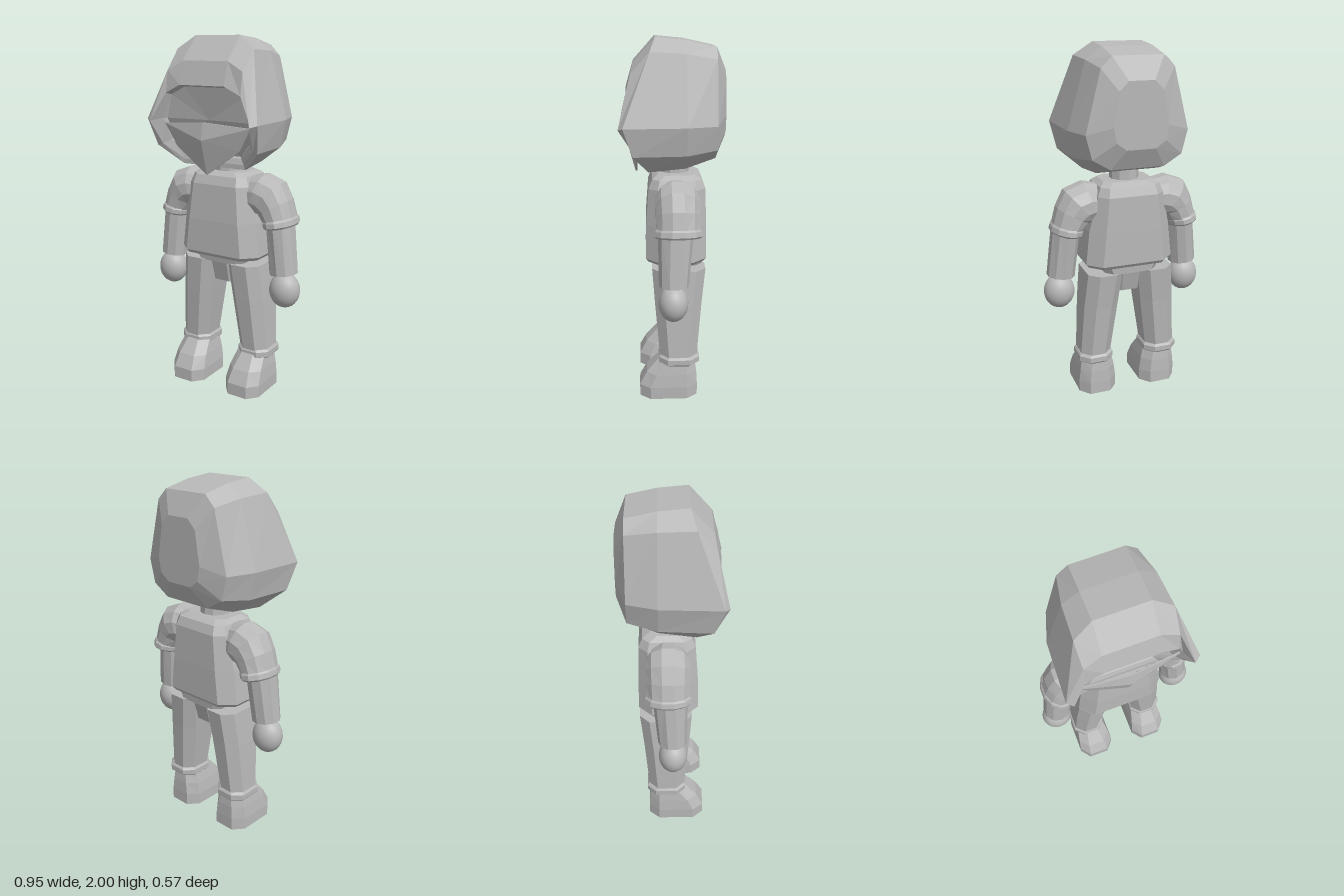
import * as THREE from 'three';

// Skin a list of equal-length rings and cap both ends; always wound outward, flat shaded.
function loft(rings, endCentre) {
  const tris = [];
  const n = rings[0].length;
  for (let i = 0; i < rings.length - 1; i++) {
    for (let j = 0; j < n; j++) {
      const k = (j + 1) % n, a = rings[i], b = rings[i + 1];
      tris.push([a[j], a[k], b[k]], [a[j], b[k], b[j]]);
    }
  }
  const mean = r => [0, 1, 2].map(c => r.reduce((s, p) => s + p[c], 0) / n);
  const first = rings[0], last = rings[rings.length - 1];
  const c0 = mean(first), c1 = endCentre || mean(last);
  for (let j = 0; j < n; j++) {
    const k = (j + 1) % n;
    tris.push([c0, first[k], first[j]], [c1, last[j], last[k]]);
  }
  let volume = 0;
  for (const [a, b, c] of tris) {
    const d = [a, b, c].map(p => new THREE.Vector3(p[0] - c0[0], p[1] - c0[1], p[2] - c0[2]));
    volume += d[0].dot(d[1].cross(d[2]));
  }
  if (volume < 0) tris.forEach(t => t.reverse());
  const geo = new THREE.BufferGeometry();
  geo.setAttribute('position', new THREE.Float32BufferAttribute(tris.flat(2), 3));
  geo.computeVertexNormals();
  return geo;
}

// Horizontal rectangle with cut corners.
function oct(y, x0, x1, zf, zb, cx, cz = cx) {
  return [
    [x1, y, zf - cz], [x1 - cx, y, zf], [x0 + cx, y, zf], [x0, y, zf - cz],
    [x0, y, zb + cz], [x0 + cx, y, zb], [x1 - cx, y, zb], [x1, y, zb + cz],
  ];
}

// Ellipse across a limb: centre (x, y, z), tilt below horizontal, in-plane and depth radii.
function limbRing(x, y, z, tilt, r, rz, sides = 12) {
  const t = THREE.MathUtils.degToRad(tilt);
  return Array.from({ length: sides }, (_, i) => {
    const a = ((i + 0.5) / sides) * Math.PI * 2, u = Math.cos(a) * r;
    return [x + Math.sin(t) * u, y + Math.cos(t) * u, z + Math.sin(a) * rz];
  });
}

const mirrorX = (rings, s) => rings.map(r => r.map(([x, y, z]) => [x * s, y, z]));
const symmetric = half => [...half, ...half.map(([x, y, z]) => [-x, y, z]).reverse()];

export function createModel() {
  const model = new THREE.Group();
  const clay = new THREE.MeshStandardMaterial({ color: 0xb8b8b8 });
  clay.name = 'light grey';
  const add = (name, geo) => {
    const mesh = new THREE.Mesh(geo, clay);
    mesh.name = name;
    model.add(mesh);
    return mesh;
  };

  // Hood: back cap, widening shell, side points, then the brim folding in to the face
  const hood = [
    [[0.07, 1.83, -0.285], [0.12, 1.78, -0.285], [0.15, 1.6, -0.285], [0.135, 1.52, -0.285], [0.08, 1.48, -0.285]],
    [[0.14, 1.95, -0.23], [0.2, 1.89, -0.23], [0.283, 1.56, -0.23], [0.25, 1.43, -0.23], [0.15, 1.37, -0.23]],
    [[0.14, 1.985, -0.07], [0.23, 1.92, -0.07], [0.333, 1.56, -0.07], [0.3, 1.41, -0.07], [0.18, 1.32, -0.07]],
    [[0.14, 2.0, 0.09], [0.24, 1.93, 0.12], [0.348, 1.56, 0.26], [0.32, 1.41, 0.21], [0.2, 1.305, 0.13]],
    [[0.14, 1.87, 0.208], [0.235, 1.82, 0.22], [0.315, 1.55, 0.285], [0.29, 1.42, 0.205], [0.19, 1.33, 0.13]],
    [[0.14, 1.745, 0.245], [0.235, 1.7, 0.24], [0.275, 1.56, 0.215], [0.25, 1.44, 0.17], [0.17, 1.36, 0.12]],
    [[0.135, 1.735, 0.205], [0.228, 1.69, 0.2], [0.265, 1.56, 0.19], [0.24, 1.45, 0.15], [0.16, 1.37, 0.11]],
  ];
  add('hood', loft(hood.map(symmetric)));

  // Pointed cloth over the lower face
  const maskEdge = [
    [-0.272, 1.535, 0.205], [0, 1.555, 0.238], [0.272, 1.535, 0.205],
    [0.2, 1.41, 0.192], [0, 1.27, 0.2], [-0.2, 1.41, 0.192],
  ];
  add('faceMask', loft([maskEdge.map(([x, y, z]) => [x, y, z - 0.009]), maskEdge], [0, 1.46, 0.252]));

  const neck = add('neck', new THREE.CylinderGeometry(0.08, 0.085, 0.16, 10).toNonIndexed());
  neck.geometry.computeVertexNormals();
  neck.position.set(0, 1.28, -0.015);

  // Shirt body and the waist under it
  add('shirt', loft([
    oct(0.79, -0.24, 0.24, 0.135, -0.17, 0.07),
    oct(0.81, -0.255, 0.255, 0.148, -0.185, 0.075),
    oct(1.0, -0.235, 0.235, 0.145, -0.185, 0.075),
    oct(1.2, -0.19, 0.19, 0.13, -0.18, 0.05),
    oct(1.25, -0.17, 0.17, 0.11, -0.16, 0.04),
    oct(1.272, -0.14, 0.14, 0.08, -0.12, 0.04),
  ]));
  add('waist', loft([
    oct(0.75, -0.15, 0.15, 0.1, -0.165, 0.04),
    oct(0.82, -0.18, 0.18, 0.11, -0.17, 0.04),
  ]));
  add('crotch', loft([
    oct(0.625, -0.055, 0.055, 0.05, -0.11, 0.01),
    oct(0.78, -0.06, 0.06, 0.09, -0.15, 0.01),
  ]));

  for (const [s, side] of [[1, 'left'], [-1, 'right']]) {
    const part = (name, rings) => add(side + name, loft(mirrorX(rings, s)));

    // Trouser leg, cuff and shoe
    part('Leg', [
      oct(0.19, 0.13, 0.265, 0.055, -0.12, 0.03),
      oct(0.25, 0.11, 0.288, 0.075, -0.135, 0.05),
      oct(0.55, 0.07, 0.27, 0.1, -0.16, 0.055),
      oct(0.755, 0.045, 0.25, 0.115, -0.182, 0.055),
    ]);
    part('Cuff', [
      oct(0.2, 0.108, 0.292, 0.072, -0.138, 0.05),
      oct(0.21, 0.1, 0.3, 0.08, -0.147, 0.05),
      oct(0.24, 0.1, 0.3, 0.08, -0.147, 0.05),
      oct(0.252, 0.108, 0.292, 0.072, -0.138, 0.05),
    ]);
    part('Shoe', [
      oct(0, 0.078, 0.3, 0.19, -0.137, 0.05, 0.06),
      oct(0.07, 0.078, 0.3, 0.19, -0.137, 0.05, 0.06),
      oct(0.145, 0.088, 0.292, 0.15, -0.133, 0.05, 0.055),
      oct(0.225, 0.105, 0.278, 0.08, -0.122, 0.05),
    ]);

    // Sleeve bending over the shoulder, with its hem band
    part('Sleeve', [
      limbRing(0.14, 1.14, -0.02, 0, 0.11, 0.1),
      limbRing(0.215, 1.15, -0.022, 15, 0.125, 0.122),
      limbRing(0.265, 1.135, -0.022, 42, 0.13, 0.125),
      limbRing(0.305, 1.09, -0.022, 62, 0.105, 0.12),
      limbRing(0.34, 1.01, -0.022, 78, 0.088, 0.118),
    ]);
    part('SleeveHem', [
      limbRing(0.336, 1.03, -0.022, 78, 0.088, 0.12),
      limbRing(0.338, 1.02, -0.022, 78, 0.094, 0.128),
      limbRing(0.344, 0.995, -0.022, 80, 0.094, 0.13),
      limbRing(0.345, 0.985, -0.022, 80, 0.086, 0.12),
    ]);

    // Forearm and hand
    part('Forearm', [
      limbRing(0.375, 0.725, 0.002, 84, 0.08, 0.08, 10),
      limbRing(0.342, 1.02, -0.01, 80, 0.08, 0.095, 10),
    ]);
    const hand = add(side + 'Hand', new THREE.SphereGeometry(1, 24, 16));
    hand.scale.set(0.088, 0.1, 0.08);
    hand.position.set(0.385 * s, 0.63, 0.005);
  }
  return model;
}
